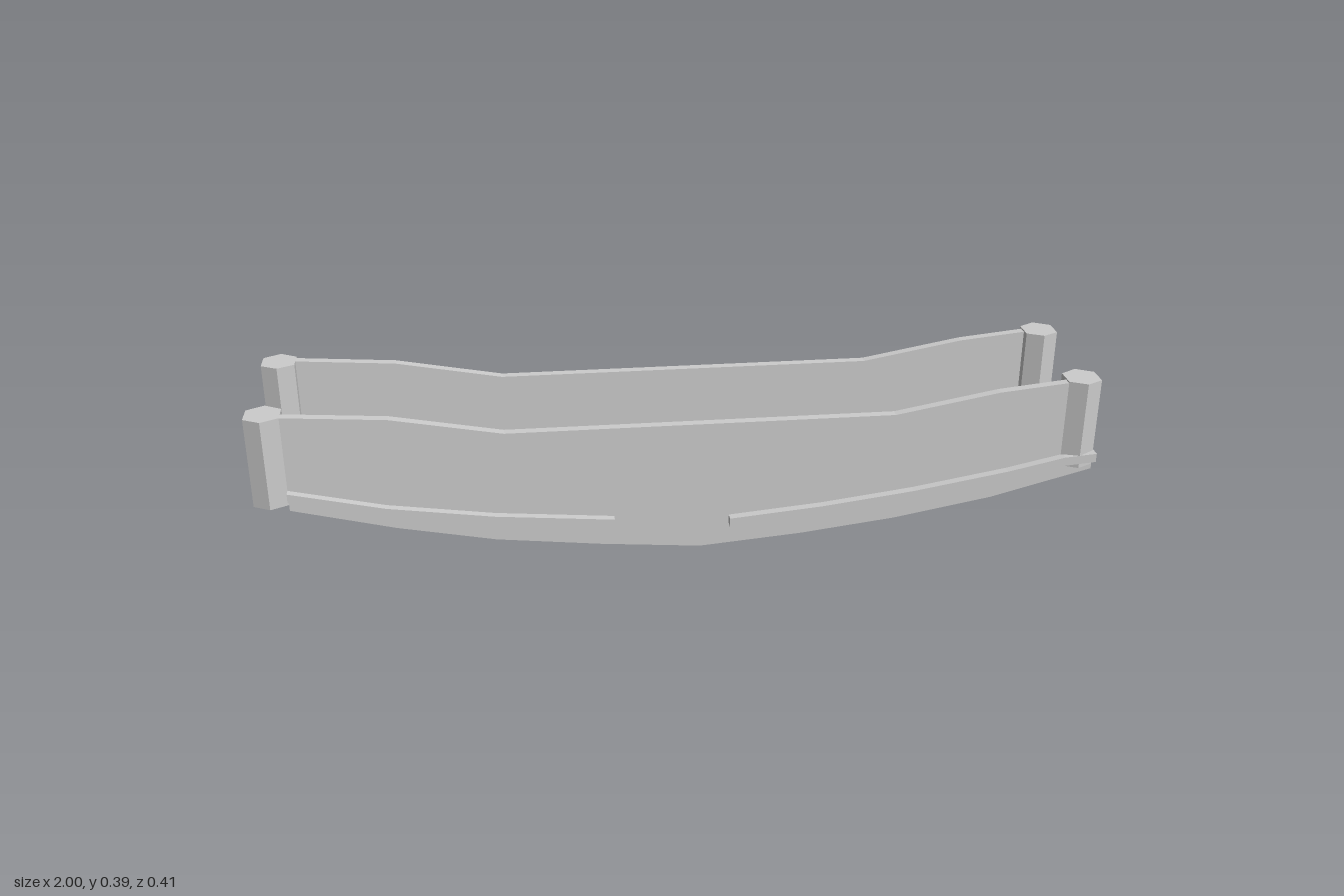
import * as THREE from 'three';

const material = new THREE.MeshStandardMaterial({ color: 0xcccccc, flatShading: true });

// Extrudes a side outline (x, y) from z0 to z1
function slab(name, outline, z0, z1) {
  const shape = new THREE.Shape(outline.map(([x, y]) => new THREE.Vector2(x, y)));
  const geometry = new THREE.ExtrudeGeometry(shape, { depth: z1 - z0, bevelEnabled: false });
  geometry.translate(0, 0, z0);
  const mesh = new THREE.Mesh(geometry, material);
  mesh.name = name;
  return mesh;
}

// Hexagonal post with its points facing front and back
function post(name, x, z) {
  const outline = [[0, 0.048], [-0.04, 0.027], [-0.04, -0.025], [0, -0.048], [0.04, -0.025], [0.04, 0.027]];
  const shape = new THREE.Shape(outline.map(([px, pz]) => new THREE.Vector2(px, -pz)));
  const geometry = new THREE.ExtrudeGeometry(shape, { depth: 0.22, bevelEnabled: false });
  geometry.rotateX(-Math.PI / 2);
  const mesh = new THREE.Mesh(geometry, material);
  mesh.name = name;
  mesh.position.set(x, 0.17, z);
  return mesh;
}

// Curved deck of constant thickness below its top line
function deck(name, top, z0, z1) {
  const bottom = top.map(([x, y]) => [x, y - 0.022]).reverse();
  return slab(name, [...top, ...bottom], z0, z1);
}

export function createModel() {
  const group = new THREE.Group();
  group.name = 'bridge';

  // Side walls: bowed underside, dipped top edge
  const wall = [
    [-0.92, 0.155], [-0.68, 0.095], [-0.45, 0.05], [-0.2, 0.022], [0.035, 0.002], [0.28, 0.022],
    [0.51, 0.05], [0.75, 0.093], [0.995, 0.157], [0.995, 0.205], [0.93, 0.205], [0.93, 0.388],
    [0.75, 0.37], [0.5, 0.325], [-0.42, 0.325], [-0.68, 0.373], [-0.92, 0.39],
  ];
  group.add(slab('frontWall', wall, 0.163, 0.185));
  group.add(slab('backWall', wall, -0.173, -0.151));

  // Two deck pieces with a gap at the middle
  group.add(deck('rightDeck', [[-0.92, 0.207], [-0.7, 0.157], [-0.45, 0.121], [-0.17, 0.096]], -0.204, 0.204));
  group.add(deck('leftDeck', [[0.105, 0.083], [0.33, 0.103], [0.55, 0.131], [0.78, 0.17], [0.92, 0.2], [0.997, 0.206]], -0.201, 0.206));

  // Corner posts
  for (const [side, x] of [['right', -0.96], ['left', 0.955]]) {
    group.add(post(side + 'FrontPost', x, 0.158));
    group.add(post(side + 'BackPost', x, -0.157));
  }
  return group;
}
